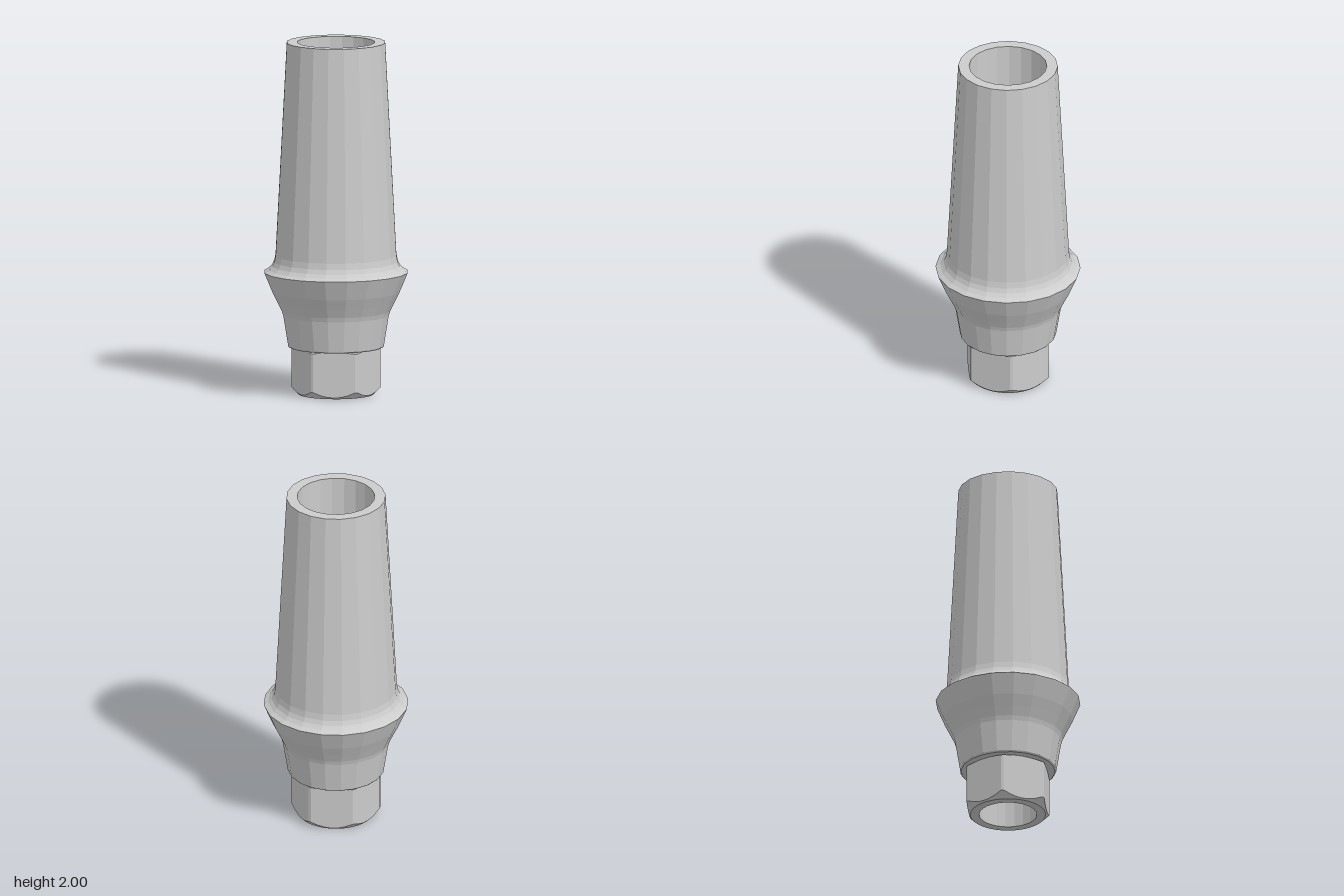
import * as THREE from 'three';

const SIDES = 20;
const BORE = 0.163;

const material = new THREE.MeshStandardMaterial({ color: 0xcccccc, flatShading: true });

function lathe(name, profile) {
  const points = profile.map(([r, y]) => new THREE.Vector2(r, y));
  const mesh = new THREE.Mesh(new THREE.LatheGeometry(points, SIDES), material);
  mesh.name = name;
  return mesh;
}

// Skin a stack of closed rings, ordered so that faces point outwards
function loft(name, rings) {
  const n = rings[0].length;
  const index = [];
  for (let k = 0; k < rings.length - 1; k++) {
    for (let i = 0; i < n; i++) {
      const a = k * n + i, b = k * n + (i + 1) % n;
      index.push(a, b, b + n, a, b + n, a + n);
    }
  }
  const geometry = new THREE.BufferGeometry();
  geometry.setAttribute('position', new THREE.Float32BufferAttribute(rings.flat(2), 3));
  geometry.setIndex(index);
  geometry.computeVertexNormals();
  const mesh = new THREE.Mesh(geometry, material);
  mesh.name = name;
  return mesh;
}

// Hexagon with trimmed corners, cut by a cone at each end into scalloped chamfers
function hexBase() {
  const apothem = 0.22, bottom = 0.212, top = 0.27;
  const corner = Math.acos(apothem / 0.25);
  const spokes = [];
  for (let side = 0; side < 6; side++) {
    for (let j = -3; j <= 3; j++) {
      const off = (j / 3) * corner;
      spokes.push({ angle: side * Math.PI / 3 + Math.PI / 2 + off, r: apothem / Math.cos(off) });
    }
  }
  const ring = (radius, height) => spokes.map(({ angle, r }) =>
    [radius(r) * Math.sin(angle), height(r), radius(r) * Math.cos(angle)]);
  return loft('hexBase', [
    ring(() => BORE - 0.001, () => 0),
    ring(() => bottom, () => 0),
    ring(r => r, r => r - bottom),
    ring(r => r, r => top - 0.003 - (r - apothem) * 0.35),
    ring(() => apothem - 0.002, () => top),
  ]);
}

export function createModel() {
  const group = new THREE.Group();
  group.name = 'abutment';

  // Flared collar between hex and shoulder
  group.add(lathe('collar', [
    [0.2, 0.268], [0.265, 0.268], [0.272, 0.276], [0.3, 0.45], [0.308, 0.475],
    [0.332, 0.525], [0.362, 0.585], [0.408, 0.695],
  ]));

  // Shoulder fillet running up into the tapered post, closed by the flat rim
  group.add(lathe('post', [
    [0.408, 0.695], [0.382, 0.71], [0.363, 0.73], [0.351, 0.755], [0.344, 0.79],
    [0.28, 2], [0.219, 2],
  ]));

  // Stepped through-bore with a screw seat
  group.add(lathe('bore', [
    [0.219, 2], [0.215, 0.62], [0.172, 0.62], [BORE, 0.58], [BORE, 0],
  ]));

  group.add(hexBase());
  return group;
}
